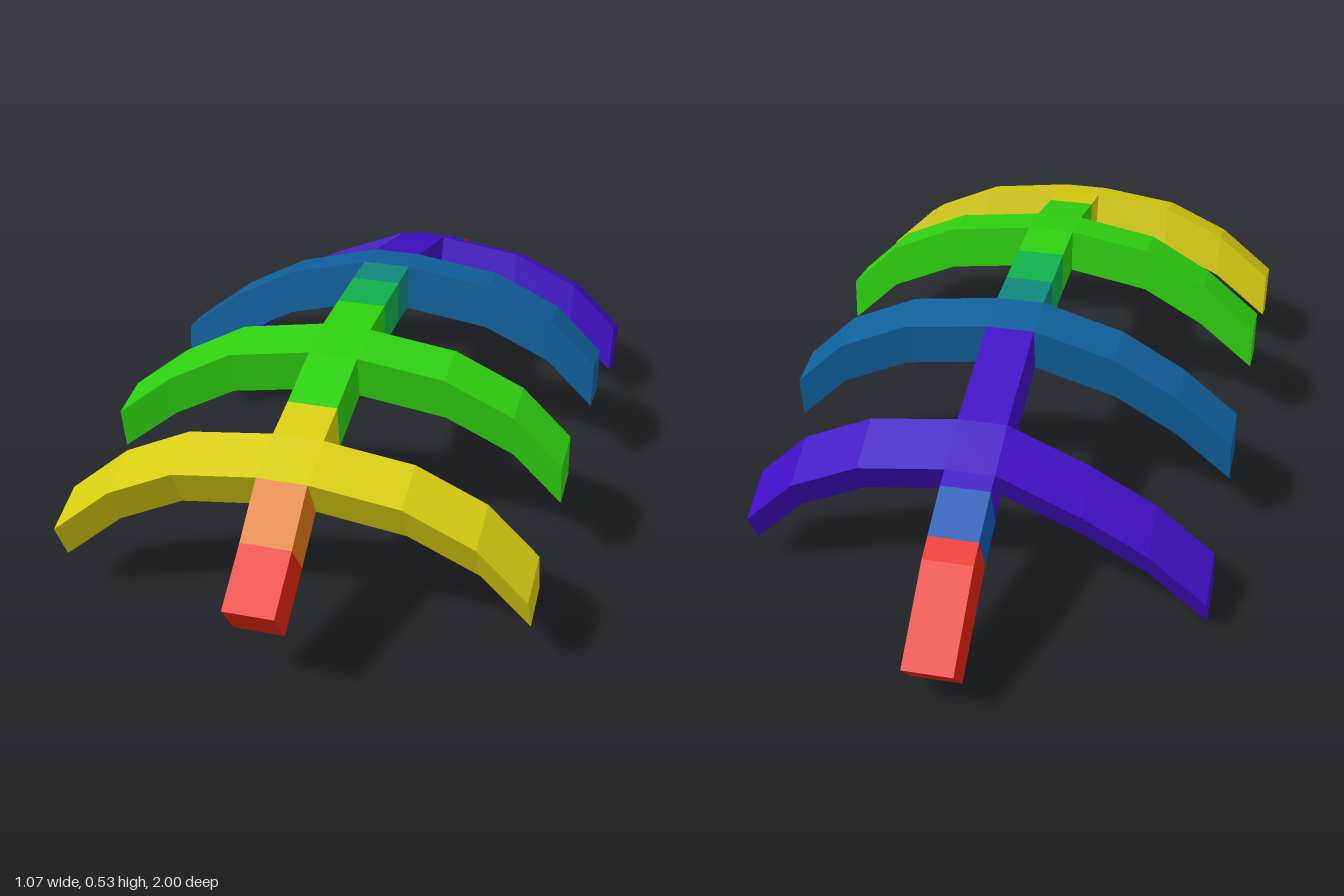
import * as THREE from 'three';

const HALF = 0.057; // half width of the spine

const COLORS = {
  red: 0xe42410, orange: 0xdc7a10, yellow: 0xd8cc10, green: 0x2ed010, seaGreen: 0x10b04a,
  teal: 0x108878, steelBlue: 0x10609c, violet: 0x400ec4, blue: 0x1058b4,
};

// Spine stations, front to rear: top z, top y, bottom z, bottom y, colour up to the next station
const STATIONS = [
  [1.0, 0.255, 0.935, 0.165, 'red'],
  [0.875, 0.34, 0.81, 0.25, 'orange'],
  [0.76, 0.428, 0.705, 0.325, 'yellow'],
  [0.64, 0.465, 0.61, 0.362, 'yellow'],
  [0.535, 0.485, 0.52, 0.375, 'green'],
  [0.375, 0.522, 0.355, 0.415, 'green'],
  [0.26, 0.537, 0.255, 0.43, 'green'],
  [0.135, 0.535, 0.135, 0.43, 'seaGreen'],
  [0, 0.53, 0, 0.425, 'teal'],
  [-0.1, 0.527, -0.09, 0.417, 'steelBlue'],
  [-0.21, 0.51, -0.195, 0.403, 'violet'],
  [-0.49, 0.43, -0.455, 0.32, 'violet'],
  [-0.61, 0.375, -0.555, 0.285, 'violet'],
  [-0.65, 0.36, -0.61, 0.25, 'blue'],
  [-0.76, 0.305, -0.71, 0.205, 'red'],
  [-0.81, 0.28, -0.755, 0.175, 'red'],
  [-0.995, 0.13, -0.925, 0.053, 'red'],
];

// Ribs by the station they start at; drop is how far the right half sinks towards its tip
const RIBS = [
  { name: 'frontRib', at: 2, drop: [0.213, 0.097, 0.026], sweep: 0.012 },
  { name: 'secondRib', at: 5, drop: [0.232, 0.12, 0.035], sweep: 0 },
  { name: 'thirdRib', at: 9, drop: [0.25, 0.14, 0.055], sweep: 0 },
  { name: 'rearRib', at: 11, drop: [0.28, 0.168, 0.084], sweep: 0 },
];

// Flat-faced solid through a row of four-cornered rings
function loft(rings, capStart = true, capEnd = true) {
  const pos = [];
  const quad = (a, b, c, d) => pos.push(...a, ...b, ...c, ...a, ...c, ...d);
  for (let r = 0; r < rings.length - 1; r++) {
    const A = rings[r], B = rings[r + 1];
    for (let i = 0; i < 4; i++) {
      const j = (i + 1) % 4;
      quad(A[i], A[j], B[j], B[i]);
    }
  }
  const first = rings[0], last = rings[rings.length - 1];
  if (capStart) quad(first[0], first[3], first[2], first[1]);
  if (capEnd) quad(...last);
  const geo = new THREE.BufferGeometry();
  geo.setAttribute('position', new THREE.Float32BufferAttribute(pos, 3));
  geo.computeVertexNormals();
  return geo;
}

const spineRing = ([tz, ty, bz, by]) => [
  [-HALF, ty, tz], [HALF, ty, tz], [HALF, by, bz], [-HALF, by, bz],
];

export function createModel() {
  const model = new THREE.Group();
  model.name = 'ribbedSpine';

  const mats = {};
  for (const [name, color] of Object.entries(COLORS)) {
    mats[name] = new THREE.MeshStandardMaterial({ color });
    mats[name].name = name;
  }
  const add = (name, geo, color) => {
    const mesh = new THREE.Mesh(geo, mats[color]);
    mesh.name = name;
    model.add(mesh);
  };

  // Spine segments, leaving out those the ribs pass through
  const last = STATIONS.length - 2;
  for (let i = 0; i <= last; i++) {
    if (RIBS.some((rib) => rib.at === i)) continue;
    const rings = [spineRing(STATIONS[i]), spineRing(STATIONS[i + 1])];
    add(`spineSegment${i + 1}`, loft(rings, i === 0, i === last), STATIONS[i][4]);
  }

  // Arched ribs, each crossing the spine
  for (const { name, at, drop, sweep } of RIBS) {
    const [ftz, fty, fbz, fby, color] = STATIONS[at];
    const [rtz, rty, rbz, rby] = STATIONS[at + 1];
    const path = [
      [-0.535, drop[0], sweep], [-0.4, drop[1], sweep * 0.4], [-0.25, drop[2], 0],
      [-HALF, 0, 0], [HALF, 0, 0],
      [0.26, 0.027, 0], [0.42, 0.1, 0], [0.535, 0.213, 0],
    ];
    const rings = path.map(([x, d, s]) => [
      [x, rty - d, rtz + s], [x, fty - d, ftz + s], [x, fby - d, fbz + s], [x, rby - d, rbz + s],
    ]);
    add(name, loft(rings), color);
  }
  return model;
}
